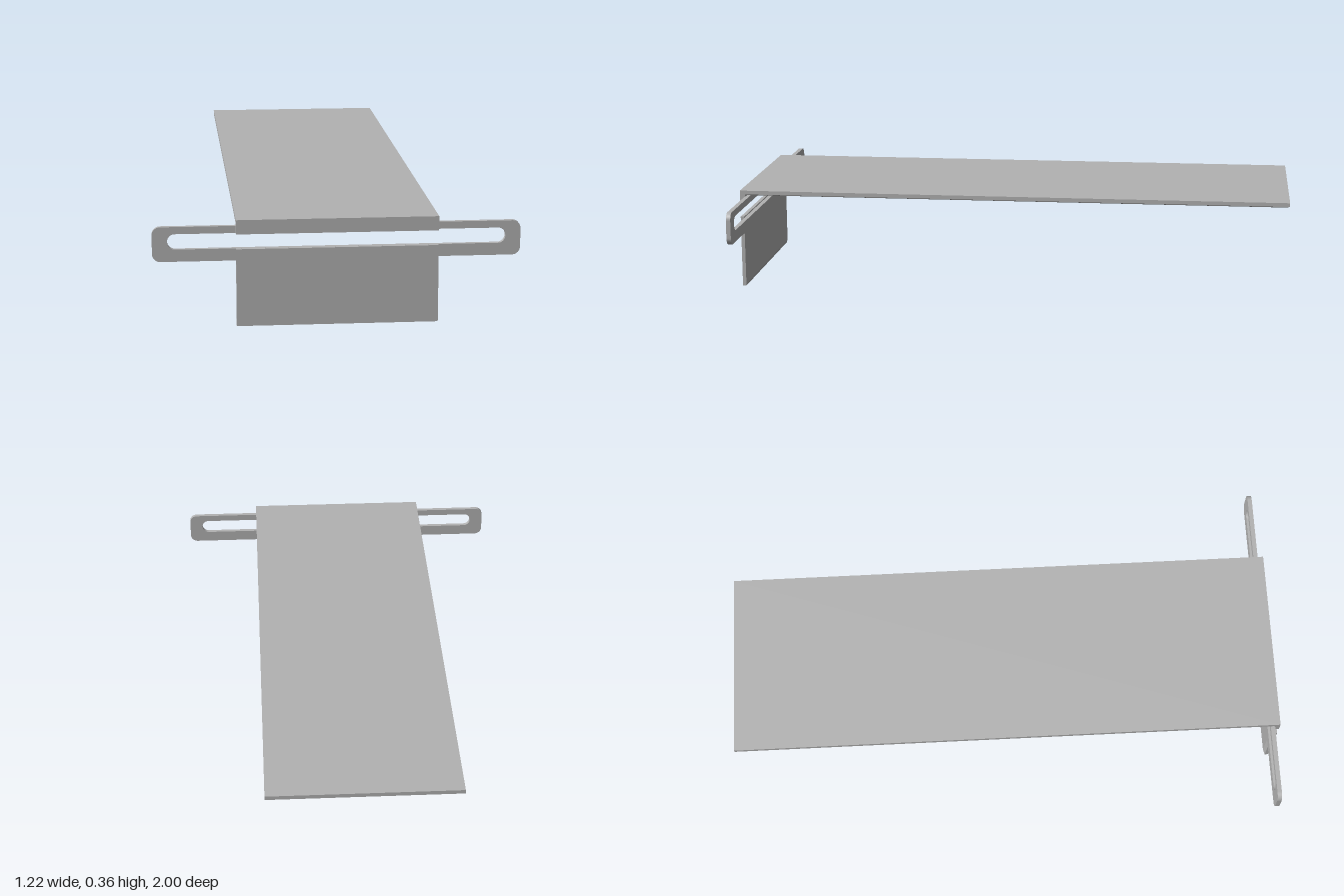
import * as THREE from 'three';

const grey = new THREE.MeshStandardMaterial({ color: 0xb2b2b2 });
grey.name = 'plain grey';

// Plate whose outer face looks along +z (at z = 0), with its rear edges bevelled inwards
function bevelledPlate(name, width, height, depth, straight, inset) {
  const box = new THREE.BoxGeometry(width, height, depth, 1, 1, 2);
  const p = box.attributes.position;
  for (let i = 0; i < p.count; i++) {
    const z = p.getZ(i);
    if (z > depth / 4) p.setZ(i, 0);
    else if (z > -depth / 4) p.setZ(i, -straight);
    else p.setXYZ(i,
      p.getX(i) - Math.sign(p.getX(i)) * inset,
      p.getY(i) - Math.sign(p.getY(i)) * inset, -depth);
  }
  const geometry = box.toNonIndexed();
  geometry.computeVertexNormals();
  const mesh = new THREE.Mesh(geometry, grey);
  mesh.name = name;
  return mesh;
}

// Traces a rounded rectangle centred on the origin
function roundedRect(path, w, h, r) {
  const x = w / 2 - r, y = h / 2 - r;
  path.absarc(x, y, r, 0, Math.PI / 2);
  path.absarc(-x, y, r, Math.PI / 2, Math.PI);
  path.absarc(-x, -y, r, Math.PI, Math.PI * 1.5);
  path.absarc(x, -y, r, Math.PI * 1.5, Math.PI * 2);
  path.closePath();
  return path;
}

export function createModel() {
  const model = new THREE.Group();
  model.name = 'slotted bracket shelf';
  const width = 0.67;

  // Long top panel
  const top = bevelledPlate('topPanel', width, 2, 0.021, 0.014, 0.022);
  top.rotation.x = -Math.PI / 2;
  top.position.y = 0.36;
  model.add(top);

  // Narrow lip turned down at the front edge
  const lip = new THREE.Mesh(new THREE.BoxGeometry(width, 0.048, 0.019), grey);
  lip.name = 'frontLip';
  lip.position.set(0, 0.336, 0.9905);
  model.add(lip);

  // Hanging front panel below the slot
  const front = bevelledPlate('frontPanel', width, 0.262, 0.02, 0.013, 0.015);
  front.position.set(0, 0.131, 1);
  model.add(front);

  // Wide mounting bar with a long rounded slot
  const outline = roundedRect(new THREE.Shape(), 1.22, 0.117, 0.027);
  const slot = roundedRect(new THREE.Path(), 1.12, 0.052, 0.0255);
  slot.curves.forEach((c) => c.updateArcLengths());
  outline.holes.push(slot);
  const bar = new THREE.Mesh(
    new THREE.ExtrudeGeometry(outline, { depth: 0.016, bevelEnabled: false, curveSegments: 8 }), grey);
  bar.name = 'slottedBar';
  bar.position.set(0, 0.2785, 0.967);
  // The slot sits slightly above the middle of the bar
  const q = bar.geometry.attributes.position;
  for (let i = 0; i < q.count; i++) {
    if (Math.abs(q.getY(i)) < 0.027 && Math.abs(q.getX(i)) < 0.565) q.setY(i, q.getY(i) + 0.0085);
  }
  model.add(bar);

  return model;
}
